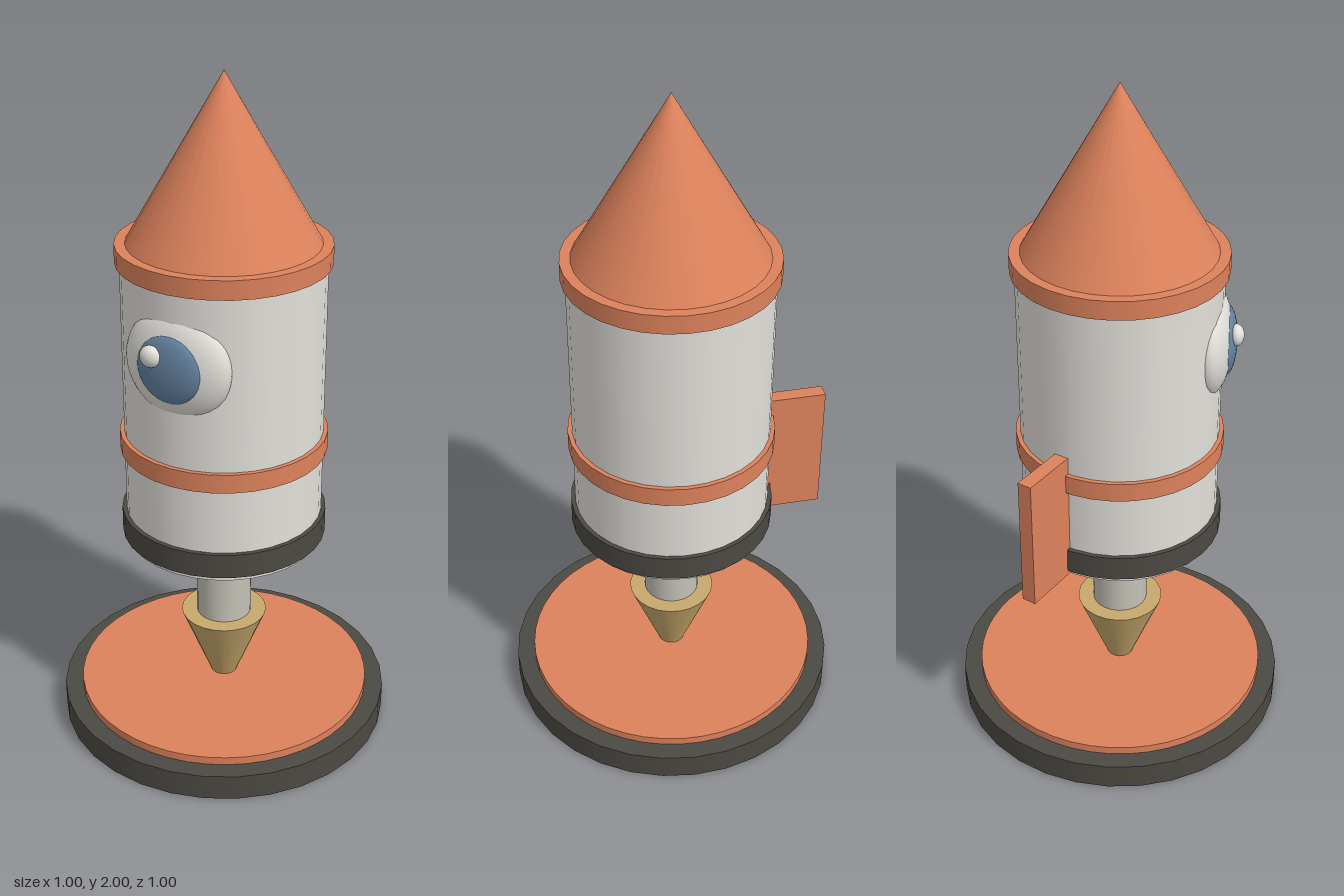
import * as THREE from 'three';

const mat = (name, color) => {
  const m = new THREE.MeshStandardMaterial({ color });
  m.name = name;
  return m;
};

export function createModel() {
  const model = new THREE.Group();
  model.name = 'rocketOnStand';

  const orange = mat('orange', 0xdd825c);
  const shell = mat('shellWhite', 0xe2e0da);
  const dark = mat('charcoal', 0x4c4943);
  const steel = mat('steel', 0xc4c1b6);
  const brass = mat('brass', 0xc8a96c);
  const blue = mat('irisBlue', 0x6482a0);

  const add = (name, geometry, material, x = 0, y = 0, z = 0) => {
    const mesh = new THREE.Mesh(geometry, material);
    mesh.name = name;
    mesh.position.set(x, y, z);
    model.add(mesh);
    return mesh;
  };
  // Upright round part between two heights
  const round = (name, material, rTop, rBottom, y0, y1, sides = 32) =>
    add(name, new THREE.CylinderGeometry(rTop, rBottom, y1 - y0, sides), material, 0, (y0 + y1) / 2, 0);

  // Stand
  round('basePlate', dark, 0.5, 0.5, 0, 0.08);
  round('baseTop', orange, 0.445, 0.445, 0.08, 0.105, 48);
  round('nozzle', brass, 0.13, 0.04, 0.105, 0.33, 24);
  round('post', steel, 0.083, 0.083, 0.33, 0.62, 24);

  // Body, bands and nose
  round('body', shell, 0.29, 0.29, 0.614, 1.5);
  round('lowerBand', dark, 0.303, 0.303, 0.63, 0.705);
  round('middleBand', orange, 0.303, 0.303, 0.905, 0.962);
  round('upperBand', orange, 0.303, 0.303, 1.475, 1.53);
  add('noseCone', new THREE.ConeGeometry(0.273, 0.47, 32), orange, 0, 1.765, 0);

  // Single fin, standing out to the back right
  const fin = add('fin', new THREE.BoxGeometry(0.27, 0.4, 0.043), orange, -0.281, 0.814, -0.162);
  fin.rotation.y = -Math.PI / 6;

  // Eye from flattened spheres
  const lens = (name, material, r, ry, depth, x, y, z) =>
    add(name, new THREE.SphereGeometry(1, 32, 20).scale(r, ry, depth), material, x, y, z);
  lens('eyeWhite', shell, 0.162, 0.16, 0.069, 0, 1.26, 0.25);
  lens('iris', blue, 0.1, 0.1, 0.032, 0, 1.26, 0.298);
  lens('eyeGlint', shell, 0.031, 0.031, 0.022, -0.043, 1.3, 0.325);

  return model;
}
